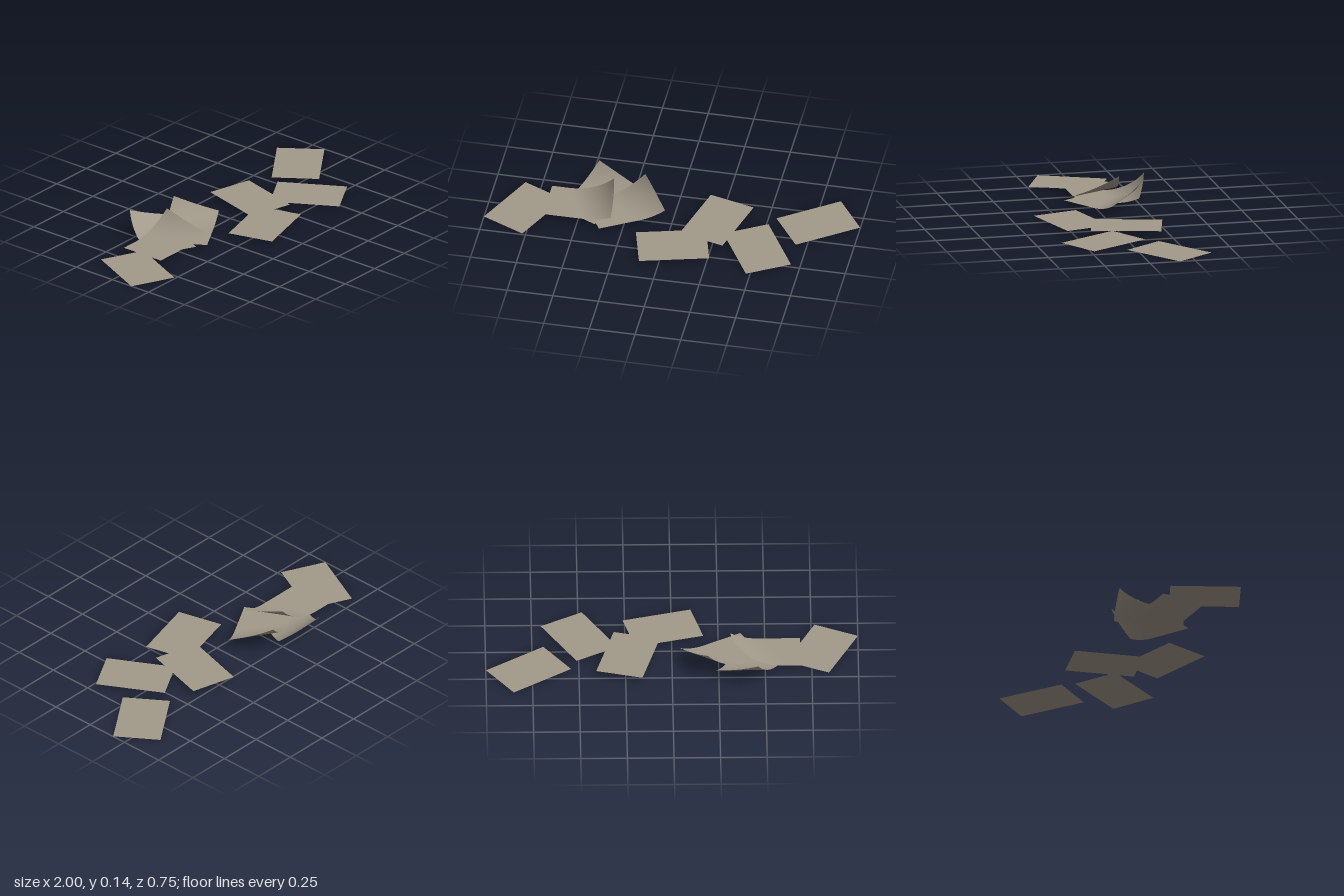
import * as THREE from 'three';

const LENGTH = 0.378, WIDTH = 0.256;

// Flat sheet lying in the xz plane
function flatSheet() {
  return new THREE.PlaneGeometry(LENGTH, WIDTH).rotateX(-Math.PI / 2);
}

// Sheet with one corner rolled up around a slanted cylinder
function curledSheet() {
  const geo = new THREE.PlaneGeometry(LENGTH, WIDTH, 24, 16).rotateX(-Math.PI / 2);
  const slant = THREE.MathUtils.degToRad(28), radius = 0.25, start = -0.023;
  const dx = Math.cos(slant), dz = -Math.sin(slant);
  const p = geo.attributes.position;
  for (let i = 0; i < p.count; i++) {
    const s = p.getX(i) * dx + p.getZ(i) * dz - start;
    if (s <= 0) continue;
    const a = s / radius;
    const shift = radius * Math.sin(a) - s;
    p.setXYZ(i, p.getX(i) + dx * shift, radius * (1 - Math.cos(a)), p.getZ(i) + dz * shift);
  }
  geo.computeVertexNormals();
  return geo;
}

export function createModel() {
  const group = new THREE.Group();
  group.name = 'scatteredPapers';
  const paper = new THREE.MeshStandardMaterial({ color: 0xa29a8a, side: THREE.DoubleSide });
  paper.name = 'agedPaper';

  const flat = flatSheet(), curled = curledSheet();

  // name, geometry, x, y, z, turn in degrees
  const sheets = [
    ['flatSheetFarRight', flat, -0.805, 0, 0.015, 65],
    ['curledSheetBack', curled, -0.432, 0.006, -0.135, 63],
    ['curledSheetMiddle', curled, -0.27, 0.018, -0.065, 30],
    ['curledSheetTop', curled, -0.5, 0.024, -0.048, 0],
    ['flatSheetFront', flat, 0.045, 0.012, 0.2, 15],
    ['flatSheetCentre', flat, 0.235, 0.018, -0.057, 75],
    ['flatSheetLeft', flat, 0.495, 0.006, 0.135, -60],
    ['flatSheetFarLeft', flat, 0.77, 0, -0.163, 35],
  ];
  for (const [name, geo, x, y, z, turn] of sheets) {
    const mesh = new THREE.Mesh(geo, paper);
    mesh.name = name;
    mesh.position.set(x, y, z);
    mesh.rotation.y = THREE.MathUtils.degToRad(turn);
    group.add(mesh);
  }
  return group;
}
